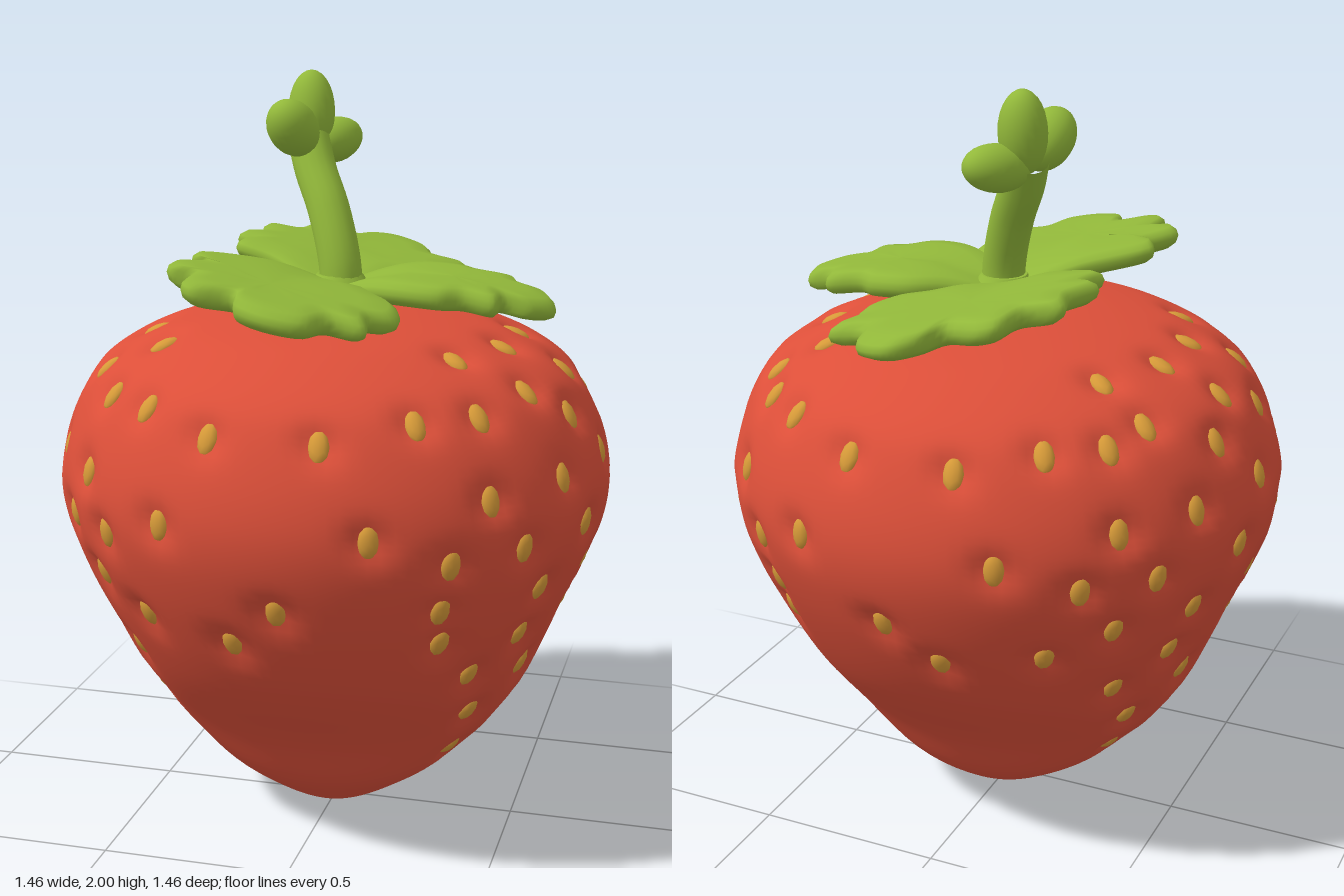
import * as THREE from 'three';
import { mergeVertices } from 'three/addons/utils/BufferGeometryUtils.js';

const red = new THREE.MeshStandardMaterial({ name: 'berry red', color: 0xdc4f39 });
const gold = new THREE.MeshStandardMaterial({ name: 'seed gold', color: 0xd69a38 });
const green = new THREE.MeshStandardMaterial({ name: 'leaf green', color: 0x92b83a });

const V2 = (p) => new THREE.Vector2(...p);
const V3 = (p) => new THREE.Vector3(...p);

// Berry outline as radius, height
const profile = new THREE.SplineCurve([
  [0, 0.005], [0.08, 0.02], [0.2, 0.085], [0.35, 0.195], [0.5, 0.37], [0.6, 0.58], [0.69, 0.78],
  [0.73, 0.93], [0.72, 1.06], [0.665, 1.2], [0.6, 1.28], [0.48, 1.35], [0.37, 1.385], [0.2, 1.41], [0, 1.415],
].map(V2)).getPoints(90);

function radiusAt(y) {
  const i = Math.max(1, profile.findIndex((p) => p.y >= y));
  const a = profile[i - 1], b = profile[i];
  return a.x + (b.x - a.x) * (y - a.y) / (b.y - a.y);
}
// The lower part is a little narrower from front to back
const depthScale = (y) => 1 - 0.17 * Math.exp(-(((y - 0.3) / 0.18) ** 2));

// Seed spots as sideways offset, height; the flank list is used at both x ends,
// the face list at both z ends
const flankSpots = [
  [0.1, 1.35], [-0.1, 1.35], [0.29, 1.35], [-0.29, 1.35],
  [0.25, 1.27], [-0.04, 1.27], [-0.33, 1.27],
  [0.14, 1.19], [-0.17, 1.19], [0.43, 1.24], [-0.44, 1.24], [0.28, 1.06], [-0.02, 1.06], [-0.31, 1.06],
  [0.42, 0.91], [0.16, 0.91], [-0.14, 0.91], [-0.42, 0.91], [0.3, 0.77], [0.03, 0.77], [-0.26, 0.77],
  [0.27, 0.63], [0.03, 0.65], [-0.25, 0.63], [0.14, 0.5], [-0.1, 0.5], [0.37, 0.54], [-0.36, 0.54],
  [0.28, 0.39], [0.02, 0.34], [-0.25, 0.39], [0.14, 0.23], [-0.13, 0.23],
];
const faceSpots = [
  [-0.15, 1.2], [0.13, 1.2], [0.34, 1.24], [-0.34, 1.24], [0.52, 1.05], [-0.52, 1.05],
  [-0.27, 0.98], [0.26, 0.98], [-0.45, 0.91], [0.44, 0.9], [0.41, 0.77], [-0.5, 0.77],
  [0.03, 0.78], [-0.1, 0.67], [-0.35, 0.7], [0.4, 0.67],
];

function makeSpot(angle, y) {
  const point = (a, h) => {
    const r = radiusAt(h);
    return new THREE.Vector3(Math.sin(a) * r, h, Math.cos(a) * r * depthScale(h));
  };
  const p = point(angle, y);
  const up = point(angle, y + 0.03).sub(point(angle, y - 0.03));
  const side = point(angle + 0.03, y).sub(point(angle - 0.03, y));
  return { p, n: side.cross(up).normalize() };
}

function makeSpots() {
  const spots = [];
  for (const end of [1, -1]) {
    for (const [o, y] of flankSpots) spots.push(makeSpot(end * (Math.PI / 2 - Math.asin(o / radiusAt(y))), y));
    for (const [o, y] of faceSpots) {
      const a = Math.asin(o / radiusAt(y));
      spots.push(makeSpot(end > 0 ? a : Math.PI - a, y));
    }
  }
  return spots;
}

// Lathed berry, pressed in around every seed
function makeBerry(spots) {
  let geo = new THREE.LatheGeometry(profile, 140);
  geo.deleteAttribute('uv');
  geo.deleteAttribute('normal');
  const pos = geo.attributes.position;
  const v = new THREE.Vector3(), push = new THREE.Vector3();
  for (let i = 0; i < pos.count; i++) {
    v.fromBufferAttribute(pos, i);
    v.z *= depthScale(v.y);
    push.set(0, 0, 0);
    for (const { p, n } of spots) {
      const d2 = v.distanceToSquared(p);
      if (d2 < 0.03) push.addScaledVector(n, -0.026 * Math.exp(-d2 / 0.0022));
    }
    v.add(push);
    pos.setXYZ(i, v.x, v.y, v.z);
  }
  geo = mergeVertices(geo, 1e-5);
  geo.computeVertexNormals();
  return new THREE.Mesh(geo, red);
}

// Thick lobed leaf: its outline (x, z) is shrunk into loops over a rounded section
function makeLeaf(name, outline, height) {
  const pts = outline.map(V2);
  if (THREE.ShapeUtils.area(pts) > 0) pts.reverse();
  const n = 96;
  const edge = new THREE.CatmullRomCurve3(pts.map((p) => new THREE.Vector3(p.x, 0, p.y)), true, 'centripetal').getPoints(n).slice(0, n);
  const mid = edge.reduce((s, p) => s.add(p), new THREE.Vector3()).divideScalar(n);
  const section = [[0.001, 0.03], [0.35, 0.031], [0.7, 0.034], [0.91, 0.03], [0.98, 0.016], [1, 0],
    [0.98, -0.016], [0.91, -0.028], [0.5, -0.028], [0.001, -0.028]];
  const verts = [], index = [];
  section.forEach(([s, h], i) => edge.forEach((e, j) => {
    const x = mid.x + (e.x - mid.x) * s, z = mid.z + (e.z - mid.z) * s;
    const sink = 0.035 * Math.exp(-(x * x + z * z) / 0.015);
    verts.push(x, height(x, z) - sink + h, z);
    if (i < section.length - 1) {
      const a = i * n + j, b = i * n + (j + 1) % n;
      index.push(a, a + n, b, b, a + n, b + n);
    }
  }));
  const geo = new THREE.BufferGeometry();
  geo.setAttribute('position', new THREE.Float32BufferAttribute(verts, 3));
  geo.setIndex(index);
  geo.computeVertexNormals();
  const mesh = new THREE.Mesh(geo, green);
  mesh.name = name;
  return mesh;
}

// Rounded lobe stretched along a direction
function makeLobe(name, center, dir, half, radius) {
  const mesh = new THREE.Mesh(new THREE.SphereGeometry(1, 20, 14), green);
  mesh.name = name;
  mesh.position.set(...center);
  mesh.scale.set(radius, half, radius);
  mesh.quaternion.setFromUnitVectors(new THREE.Vector3(0, 1, 0), V3(dir).normalize());
  return mesh;
}

export function createModel() {
  const model = new THREE.Group();
  model.name = 'strawberry';

  const spots = makeSpots();
  const berry = makeBerry(spots);
  berry.name = 'berry';
  model.add(berry);

  // Seeds sitting in the dimples
  const seeds = new THREE.Group();
  seeds.name = 'seeds';
  const seedGeo = new THREE.IcosahedronGeometry(1, 1);
  for (const { p, n } of spots) {
    const seed = new THREE.Mesh(seedGeo, gold);
    seed.name = 'seed';
    seed.scale.set(0.026, 0.043, 0.018);
    seed.position.copy(p).addScaledVector(n, -0.021);
    seed.lookAt(p.clone().add(n));
    seeds.add(seed);
  }
  model.add(seeds);

  // Leaves
  const tilted = (x) => 1.475 - 0.19 * x;
  model.add(makeLeaf('frontLeaf', [
    [-0.04, -0.02], [-0.2, 0.07], [-0.33, 0.17], [-0.32, 0.22], [-0.28, 0.25], [-0.34, 0.34], [-0.32, 0.39], [-0.26, 0.4],
    [-0.25, 0.51], [-0.21, 0.54], [-0.12, 0.51], [-0.09, 0.59], [-0.01, 0.63], [0.08, 0.61], [0.12, 0.51],
    [0.2, 0.5], [0.19, 0.4], [0.24, 0.35], [0.22, 0.23], [0.16, 0.17], [0.05, 0.02],
  ], tilted));
  model.add(makeLeaf('backLeaf', [
    [-0.06, 0.03], [-0.2, -0.04], [-0.3, -0.08], [-0.28, -0.15], [-0.33, -0.19], [-0.29, -0.27], [-0.31, -0.38], [-0.23, -0.41],
    [-0.21, -0.53], [-0.17, -0.55], [-0.08, -0.53], [-0.04, -0.61], [0.02, -0.65], [0.12, -0.6], [0.17, -0.49],
    [0.27, -0.47], [0.25, -0.38], [0.27, -0.3], [0.23, -0.2], [0.14, -0.16], [0.05, 0],
  ], tilted));
  model.add(makeLeaf('sideLeaf', [
    [-0.03, -0.03], [0.1, -0.12], [0.2, -0.19], [0.3, -0.19], [0.35, -0.16], [0.45, -0.16], [0.48, -0.1],
    [0.55, -0.08], [0.58, 0], [0.53, 0.07], [0.46, 0.08], [0.45, 0.16], [0.37, 0.16], [0.31, 0.2],
    [0.2, 0.19], [0.08, 0.12], [-0.03, 0.03],
  ], (x) => 1.46 + 0.14 * x - 0.38 * x * x));

  // Leaf hub and curved stem
  const hub = new THREE.Mesh(new THREE.CylinderGeometry(0.06, 0.13, 0.1, 24), green);
  hub.name = 'leafHub';
  hub.position.set(0.01, 1.44, 0);
  const stemPath = new THREE.CatmullRomCurve3(
    [[0.02, 1.4, 0.01], [0.01, 1.52, 0], [-0.03, 1.65, -0.04], [-0.08, 1.75, -0.09], [-0.11, 1.83, -0.13]].map(V3));
  const stem = new THREE.Mesh(new THREE.TubeGeometry(stemPath, 24, 0.056, 16), green);
  stem.name = 'stem';
  model.add(hub, stem);

  // Three-lobed stem tip
  model.add(
    makeLobe('topLobe', [-0.105, 1.895, -0.145], [-0.03, 1, -0.12], 0.108, 0.062),
    makeLobe('frontLobe', [-0.125, 1.86, -0.035], [-0.15, 0.5, 0.6], 0.09, 0.066),
    makeLobe('backLobe', [-0.06, 1.815, -0.2], [0.35, 0.12, -0.6], 0.095, 0.06),
  );
  return model;
}
